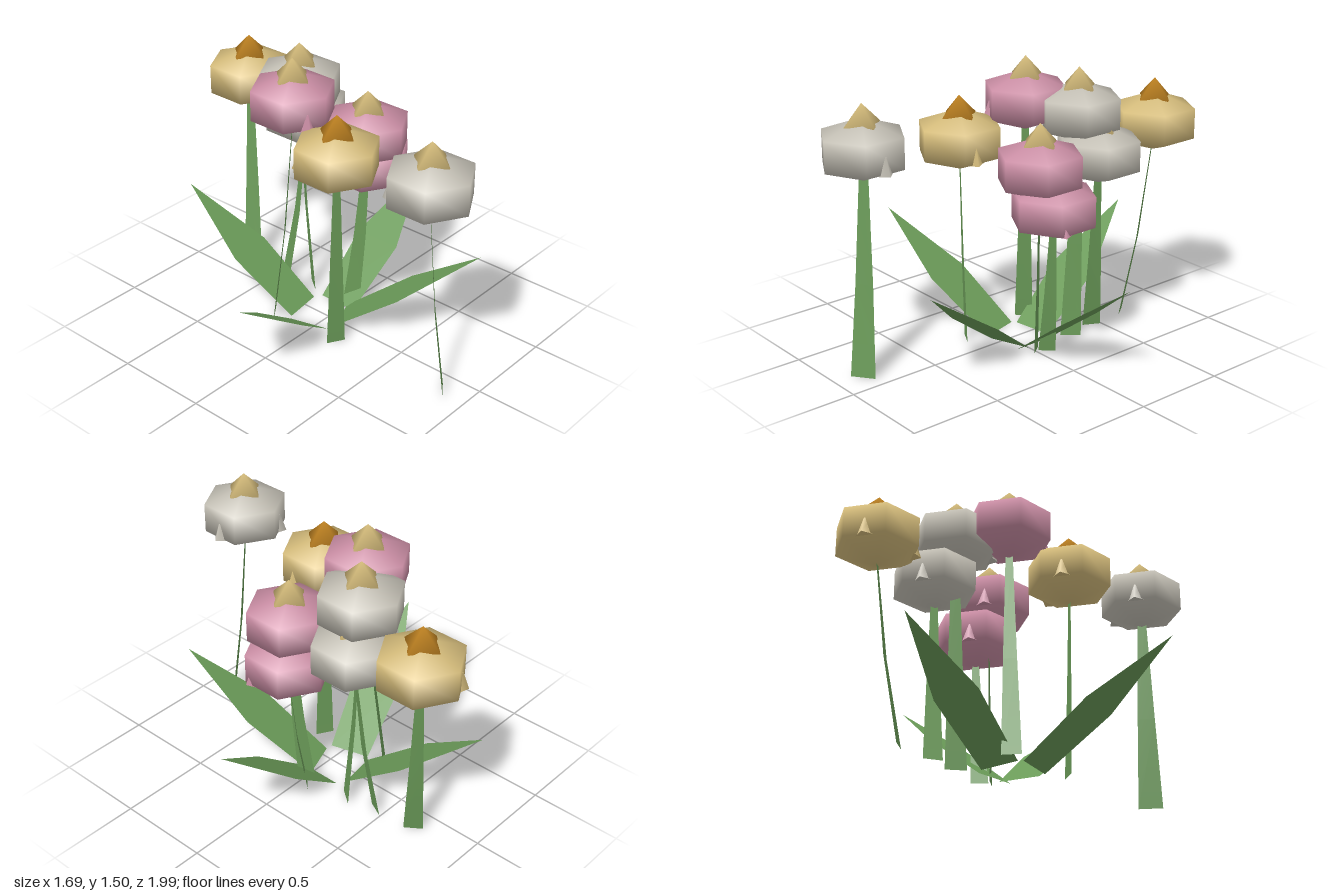
import * as THREE from 'three';

const mat = (name, color, extra = {}) => {
  const m = new THREE.MeshStandardMaterial({ color, ...extra });
  m.name = name;
  return m;
};

export function createModel() {
  const root = new THREE.Group();
  const green = mat('leaf green', 0x6a9a58, { side: THREE.DoubleSide });
  const pink = mat('petal pink', 0xcc8fa6);
  const white = mat('petal white', 0xc4c0b5);
  const tan = mat('golden tan', 0xd6bd7c);
  const orange = mat('deep orange', 0xc08322);

  const add = (parent, name, geometry, material, x = 0, y = 0, z = 0) => {
    const mesh = new THREE.Mesh(geometry, material);
    mesh.name = name;
    mesh.position.set(x, y, z);
    parent.add(mesh);
    return mesh;
  };

  // Flat strip through cross-sections [x, y, z, halfWidth], widened along (dx, 0, dz)
  const ribbon = (sections, dx, dz) => {
    const pos = [], index = [];
    sections.forEach(([x, y, z, w], i) => {
      pos.push(x - dx * w, y, z - dz * w, x + dx * w, y, z + dz * w);
      if (i) {
        const k = i * 2;
        index.push(k - 2, k - 1, k, k - 1, k + 1, k);
      }
    });
    const g = new THREE.BufferGeometry();
    g.setAttribute('position', new THREE.Float32BufferAttribute(pos, 3));
    g.setIndex(index);
    g.computeVertexNormals();
    return g;
  };

  // Shared flower head shapes
  const budGeo = new THREE.SphereGeometry(0.254, 6, 3);
  budGeo.scale(1, 0.63, 1);
  budGeo.rotateY(Math.PI / 2);
  const centreGeo = new THREE.SphereGeometry(0.105, 4, 2);
  const cornerGeo = new THREE.CylinderGeometry(0.025, 0.055, 0.09, 4);

  // material, head x y z, stem base x z, stem width direction x z, base half width, petal corner angles
  const flowers = [
    [white, -0.175, 1.172, 0.775, -0.12, 0.86, 0.8, -0.6, 0.065, [0, 120]],
    [tan, -0.165, 1.11, 0.195, -0.15, 0.18, 0.87, 0.49, 0.05, [-13, 120]],
    [pink, -0.08, 1.27, -0.17, -0.17, -0.24, 0.815, -0.58, 0.05, [245]],
    [white, 0.15, 1.23, -0.33, 0.18, -0.27, 0.6, -0.8, 0.055, [240]],
    [white, 0.25, 1.02, -0.38, 0.15, -0.45, 0.45, -0.89, 0.05, [118]],
    [tan, 0.243, 1.115, -0.78, 0.13, -0.685, 0.58, 0.815, 0.05, [120, 240]],
    [pink, 0.267, 1.03, 0.032, 0.2, -0.01, 0.6, 0.8, 0.045, [128]],
    [pink, 0.325, 0.83, -0.008, 0.24, -0.05, 0.7, -0.71, 0.045, [-25, 126]],
  ];

  for (const [petal, x, y, z, bx, bz, dx, dz, w, corners] of flowers) {
    const flower = new THREE.Group();
    flower.name = 'flower';
    root.add(flower);

    // Tapering, slightly curved stem
    const stem = [0, 0.45, 1].map((t) => {
      const s = t * (1.45 - 0.45 * t);
      return [bx + (x - bx) * s, (y - 0.1) * t, bz + (z - bz) * s, w * (1 - 0.65 * t)];
    });
    add(flower, 'stem', ribbon(stem, dx, dz), green);

    // Bud, centre and the petal corners that show just beyond its sides
    add(flower, 'bud', budGeo, petal, x, y, z);
    add(flower, 'flowerCentre', centreGeo, petal === tan ? orange : tan, x, y + 0.125, z);
    for (const degrees of corners) {
      const a = THREE.MathUtils.degToRad(degrees);
      const corner = add(flower, 'petalCorner', cornerGeo, petal,
        x + Math.cos(a) * 0.17, y - 0.04, z - Math.sin(a) * 0.17);
      corner.rotation.y = a;
    }
  }

  // Four slanted leaves spreading from the middle: base x z, tip x z
  const leaves = [
    [0.05, 0.04, 0.31, 0.75],
    [-0.12, -0.03, -0.845, 0.17],
    [-0.02, -0.17, -0.125, -0.9],
    [0.13, -0.05, 0.845, -0.05],
  ];
  for (const [bx, bz, tx, tz] of leaves) {
    const len = Math.hypot(tx - bx, tz - bz);
    const sections = [[0, 0.11], [0.47, 0.135], [1, 0]].map(([t, w]) =>
      [bx + (tx - bx) * t, 0.54 * t, bz + (tz - bz) * t, w]);
    add(root, 'leaf', ribbon(sections, (tz - bz) / len, -(tx - bx) / len), green);
  }
  return root;
}
